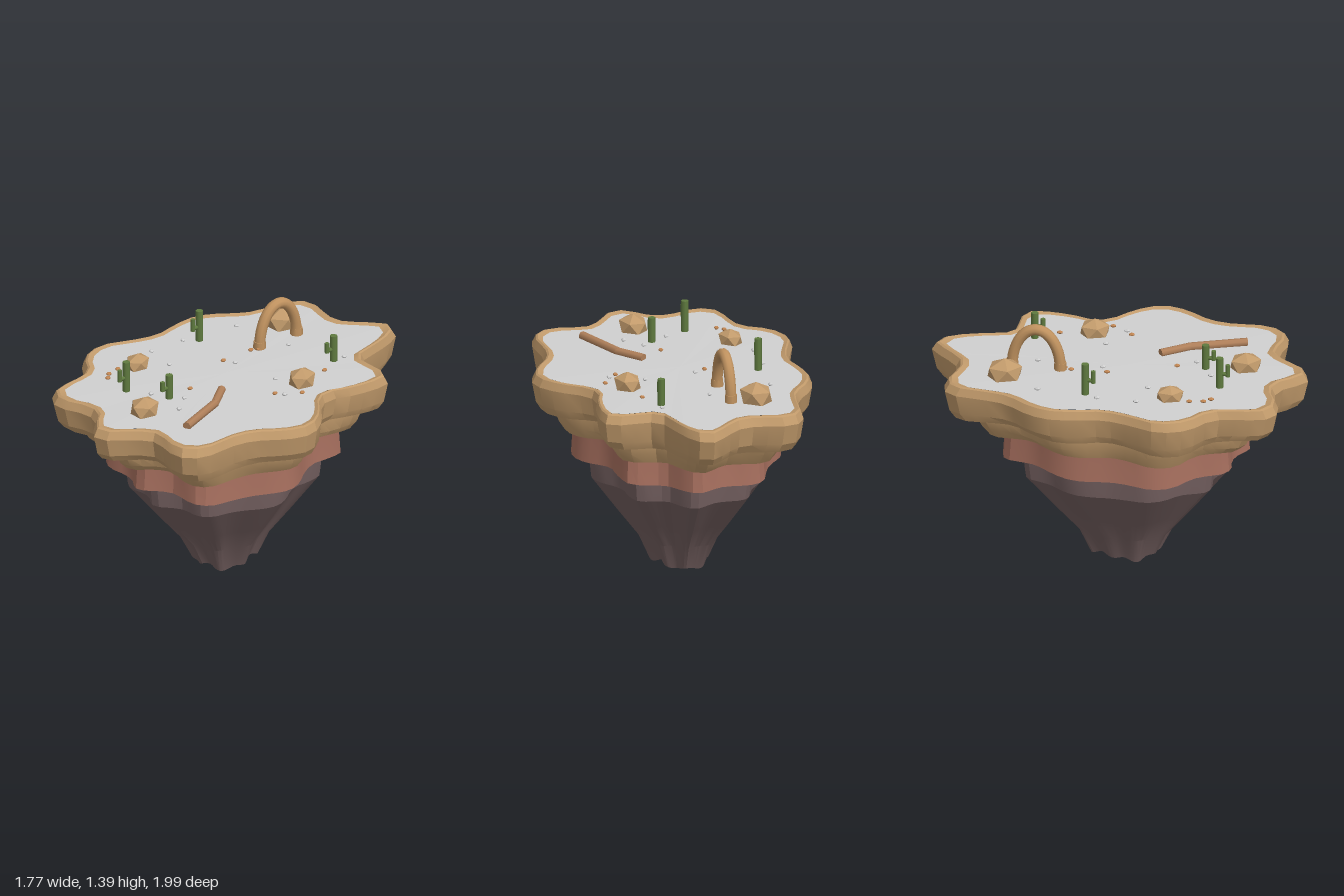
import * as THREE from 'three';
import { toCreasedNormals } from 'three/addons/utils/BufferGeometryUtils.js';

const mat = (name, color) => {
  const m = new THREE.MeshStandardMaterial({ color });
  m.name = name;
  return m;
};

// Wavy coast of the island as x, z pairs, clockwise from the back lobe
const COAST = [
  .24, -1, .32, -.96, .4, -.86, .48, -.8, .61, -.8, .76, -.815, .8, -.757, .785, -.635, .73, -.5, .69, -.37,
  .77, -.29, .86, -.217, .885, -.16, .84, -.08, .73, .03, .62, .11, .59, .2, .62, .34, .63, .476, .585, .58,
  .48, .645, .32, .7, .214, .79, .11, .937, 0, .995, -.1, .95, -.18, .86, -.246, .82, -.37, .84, -.5, .87,
  -.56, .836, -.58, .74, -.595, .635, -.685, .566, -.82, .524, -.886, .44, -.86, .344, -.786, .21, -.765, .13,
  -.807, 0, -.807, -.106, -.75, -.21, -.606, -.3, -.484, -.4, -.405, -.556, -.325, -.67, -.21, -.735,
  -.05, -.783, .08, -.894, .16, -.974,
];
const SEGMENTS = 72;
const GROUND_Y = 1.13;

function coastPoints() {
  const pts = [];
  for (let i = 0; i < COAST.length; i += 2) pts.push(new THREE.Vector3(COAST[i], 0, COAST[i + 1]));
  return new THREE.CatmullRomCurve3(pts, true, 'centripetal').getSpacedPoints(SEGMENTS).slice(0, SEGMENTS);
}

// Skins rings of [scale, y, roundness, wobble], ordered from the top centre outward and down
function loft(coast, rings) {
  const pos = [], idx = [];
  for (const [s, y, round = 0, wobble = 0] of rings) {
    for (const p of coast) {
      const a = Math.atan2(p.z, p.x);
      const k = s * (1 - round + (round * 0.82) / Math.hypot(p.x, p.z));
      pos.push(p.x * k, y + wobble * Math.sin(5 * a + 1) * Math.cos(2 * a), p.z * k);
    }
  }
  for (let j = 0; j < rings.length - 1; j++) {
    for (let i = 0; i < SEGMENTS; i++) {
      const n = (i + 1) % SEGMENTS;
      const a = j * SEGMENTS + i, b = j * SEGMENTS + n, c = a + SEGMENTS, d = b + SEGMENTS;
      if (rings[j][0] > 0) idx.push(a, b, c);
      if (rings[j + 1][0] > 0) idx.push(b, d, c);
    }
  }
  const g = new THREE.BufferGeometry();
  g.setAttribute('position', new THREE.Float32BufferAttribute(pos, 3));
  g.setIndex(idx);
  return toCreasedNormals(g, 0.35);
}

export function createModel() {
  const model = new THREE.Group();
  model.name = 'floatingIsland';

  const sand = mat('sandstone', 0xc19a6b);
  const red = mat('redRock', 0xa8705f);
  const dark = mat('darkRock', 0x735f5f);
  const pale = mat('paleGround', 0xd0d0d0);
  const arch = mat('archStone', 0xc0925f);
  const wood = mat('dryWood', 0xb0805a);
  const green = mat('cactusGreen', 0x5f7a3f);
  const clay = mat('clayPebble', 0xc08552);

  const add = (name, geometry, material, x = 0, y = 0, z = 0, parent = model) => {
    const mesh = new THREE.Mesh(geometry, material);
    mesh.name = name;
    mesh.position.set(x, y, z);
    parent.add(mesh);
    return mesh;
  };

  // Stacked rock layers
  const coast = coastPoints();
  add('ground', loft(coast, [[0, 1.128], [0.5, 1.128], [0.925, 1.124]]), pale);
  add('upperLedge', loft(coast, [
    [0.9, 1.1], [0.92, 1.122], [0.96, 1.132], [0.975, 1.125], [1, 1.08],
    [0.975, 0.97, 0, 0.01], [0.94, 0.925, 0, 0.02], [0, 0.925],
  ]), sand);
  add('lowerLedge', loft(coast, [
    [0.85, 0.96, 0.1], [0.85, 0.92, 0.1], [0.82, 0.85, 0.15], [0.78, 0.8, 0.2, 0.02], [0, 0.8],
  ]), sand);
  add('redBand', loft(coast, [
    [0.725, 0.84, 0.4], [0.725, 0.78, 0.4], [0.735, 0.65, 0.4, 0.015], [0, 0.65],
  ]), red);
  add('rockRoot', loft(coast, [
    [0.62, 0.69, 0.4], [0.615, 0.62, 0.4], [0.6, 0.51, 0.4], [0.42, 0.31, 0.4],
    [0.28, 0.16, 0.4], [0.205, 0.02, 0.35, 0.02], [0.1, 0.025, 0.35, 0.01], [0, 0.03],
  ]), dark);

  // Faceted boulders, half sunk: x, z, radius across, radius along, top height
  for (const [x, z, rx, rz, h] of [
    [0.18, -0.66, 0.088, 0.1, 0.105], [0.44, 0.03, 0.072, 0.085, 0.09],
    [-0.49, 0.02, 0.062, 0.078, 0.075], [-0.33, 0.57, 0.077, 0.09, 0.09],
  ]) {
    const g = new THREE.IcosahedronGeometry(1, 0);
    g.rotateZ(0.5536); // one corner points up
    g.scale(rx * 1.08, h * 0.75, rz * 1.08);
    add('boulder', g, sand, x, GROUND_Y + h * 0.25, z).rotation.y = -0.3;
  }

  // Stone arch with a foot under each end
  const archGroup = new THREE.Group();
  archGroup.name = 'stoneArch';
  archGroup.position.set(0.2, GROUND_Y, -0.455);
  archGroup.rotation.y = Math.atan2(0.11, 0.082);
  model.add(archGroup);
  const archPoints = [];
  for (let i = 0; i <= 10; i++) {
    const a = (i / 10) * Math.PI;
    archPoints.push(new THREE.Vector3(0.135 * Math.cos(a), 0.228 * Math.sin(a), 0));
  }
  add('archSpan', new THREE.TubeGeometry(new THREE.CatmullRomCurve3(archPoints), 28, 0.031, 10), arch, 0, 0, 0, archGroup);
  for (const s of [-1, 1]) {
    add('archFoot', new THREE.CylinderGeometry(0.034, 0.036, 0.05, 8), arch, s * 0.135, 0.015, 0, archGroup);
  }

  // Bent fallen log
  const logPath = [[0.03, 0.23], [0.03, 0.405], [-0.06, 0.715]].map(([x, z]) => new THREE.Vector3(x, 1.14, z));
  for (let i = 0; i < 2; i++) {
    const a = logPath[i], b = logPath[i + 1];
    const g = new THREE.CylinderGeometry(0.024, 0.024, a.distanceTo(b) + 0.006, 8);
    const m = add('fallenLog', g, wood, (a.x + b.x) / 2, 1.14, (a.z + b.z) / 2);
    m.quaternion.setFromUnitVectors(new THREE.Vector3(0, 1, 0), b.clone().sub(a).normalize());
  }

  // Cacti, each with one raised arm: x, z, height
  for (const [x, z, h] of [
    [-0.225, -0.37, 0.18], [0.55, -0.285, 0.148], [-0.485, 0.33, 0.175], [-0.235, 0.37, 0.14],
  ]) {
    const cactus = new THREE.Group();
    cactus.name = 'cactus';
    cactus.position.set(x, GROUND_Y, z);
    cactus.rotation.y = -Math.atan2(0.77, -0.64);
    model.add(cactus);
    add('cactusTrunk', new THREE.CylinderGeometry(0.021, 0.021, h + 0.01, 8), green, 0, h / 2 - 0.005, 0, cactus);
    const joint = new THREE.CylinderGeometry(0.012, 0.012, 0.045, 8).rotateZ(Math.PI / 2);
    add('cactusElbow', joint, green, 0.026, h * 0.46, 0, cactus);
    add('cactusArm', new THREE.CylinderGeometry(0.013, 0.013, h * 0.4, 8), green, 0.046, h * 0.58, 0, cactus);
  }

  // Scattered pebbles
  const palePebbles = [
    [-0.06, -0.58], [-0.31, -0.34], [0.27, -0.41], [0.6, -0.33], [-0.45, -0.17], [-0.32, -0.03],
    [0.03, -0.13], [0.29, 0.02], [0.38, 0.2], [-0.34, 0.35], [-0.15, 0.36], [-0.15, 0.5],
  ];
  const clayPebbles = [
    [0.08, -0.3], [0.12, -0.32], [-0.04, -0.14], [0.53, -0.14], [-0.585, 0.09],
    [-0.62, 0.16], [-0.615, 0.21], [-0.145, 0.24], [0.325, 0.2], [0.47, 0.16],
  ];
  const pebble = new THREE.IcosahedronGeometry(1, 0).scale(0.014, 0.01, 0.018);
  for (const [list, material] of [[palePebbles, pale], [clayPebbles, clay]]) {
    for (const [x, z] of list) add('pebble', pebble, material, x, 1.135, z).rotation.y = -0.5;
  }

  return model;
}
